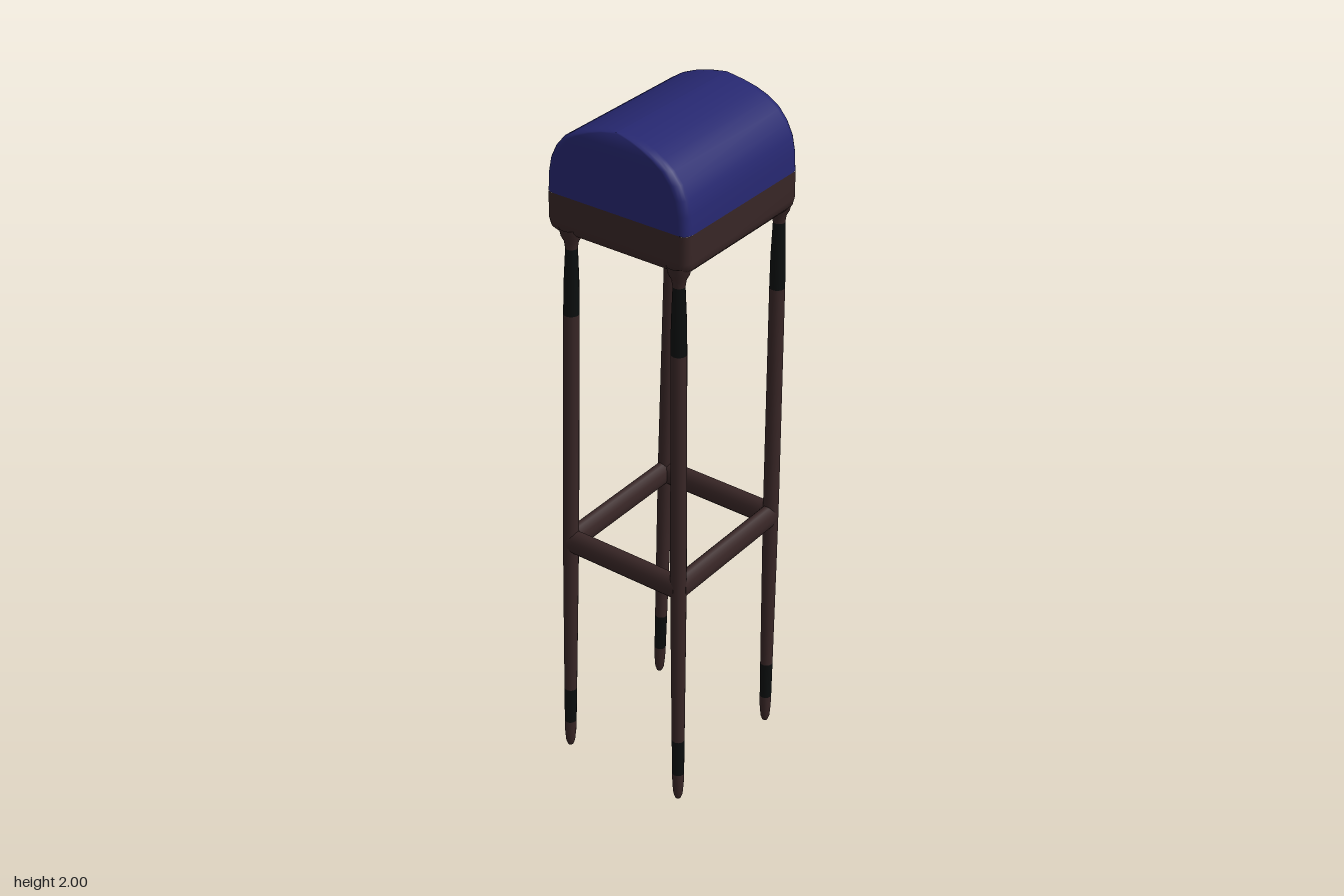
import * as THREE from 'three';

const upholstery = new THREE.MeshStandardMaterial({ color: 0x26276f });
upholstery.name = 'navy upholstery';
const wood = new THREE.MeshStandardMaterial({ color: 0x382626 });
wood.name = 'dark wood';
const black = new THREE.MeshStandardMaterial({ color: 0x0b0e0e });
black.name = 'black trim';

function part(name, geometry, material) {
  const mesh = new THREE.Mesh(geometry, material);
  mesh.name = name;
  return mesh;
}

// Stack of rounded rectangles; each level is [y, halfWidth, halfDepth]
function loft(levels, radius) {
  const steps = 4;
  const n = 4 * (steps + 1);
  const pos = [];
  const index = [];
  for (const [y, w, d] of levels) {
    const r = Math.min(radius, w, d);
    for (let q = 0; q < 4; q++) {
      const sx = q === 0 || q === 3 ? 1 : -1;
      const sz = q < 2 ? 1 : -1;
      for (let s = 0; s <= steps; s++) {
        const a = (q + s / steps) * Math.PI / 2;
        pos.push(sx * (w - r) + r * Math.cos(a), y, sz * (d - r) + r * Math.sin(a));
      }
    }
  }
  for (let j = 0; j < levels.length - 1; j++) {
    for (let i = 0; i < n; i++) {
      const a = j * n + i;
      const b = j * n + (i + 1) % n;
      index.push(a, a + n, b, b, a + n, b + n);
    }
  }
  const g = new THREE.BufferGeometry();
  g.setAttribute('position', new THREE.Float32BufferAttribute(pos, 3));
  g.setIndex(index);
  g.computeVertexNormals();
  return g;
}

// Leg bands from the floor up: name, material, [radius, y] profile
const bands = [
  ['footTip', wood, [[0, 0.005], [0.008, 0.01], [0.013, 0.025], [0.016, 0.06], [0.017, 0.1]]],
  ['footBand', black, [[0.017, 0.1], [0.018, 0.22]]],
  ['shaft', wood, [[0.018, 0.22], [0.021, 0.6], [0.022, 0.8], [0.021, 1.45]]],
  ['upperBand', black, [[0.021, 1.45], [0.02, 1.54], [0.016, 1.64]]],
  ['flare', wood, [[0.016, 1.64], [0.019, 1.66], [0.027, 1.675], [0.032, 1.7]]],
];

function makeLeg(name, x, zFloor, zTop) {
  const leg = new THREE.Group();
  leg.name = name;
  for (const [bandName, material, profile] of bands) {
    const g = new THREE.LatheGeometry(profile.map(([r, y]) => new THREE.Vector2(r, y)), 16);
    // Lean the leg along z without tilting the bands
    const p = g.attributes.position;
    for (let i = 0; i < p.count; i++) {
      p.setZ(i, p.getZ(i) + THREE.MathUtils.lerp(zFloor, zTop, p.getY(i) / 1.68));
    }
    leg.add(part(bandName, g, material));
  }
  leg.position.x = x;
  return leg;
}

// Oval rail along x
function makeRail(name, length) {
  const g = new THREE.CylinderGeometry(1, 1, length, 16);
  g.rotateZ(Math.PI / 2);
  g.scale(1, 0.037, 0.023);
  return part(name, g, wood);
}

export function createModel() {
  const stool = new THREE.Group();
  stool.name = 'stool';

  // Seat: wooden base and arched cushion
  const seat = new THREE.Group();
  seat.name = 'seat';
  seat.position.z = 0.005;
  seat.add(part('seatBase', loft([
    [1.68, 0, 0], [1.68, 0.215, 0.193], [1.684, 0.226, 0.204],
    [1.695, 0.234, 0.213], [1.715, 0.237, 0.217], [1.79, 0.237, 0.217],
  ], 0.022), wood));
  seat.add(part('cushion', loft([
    [1.79, 0.237, 0.217], [1.84, 0.237, 0.214], [1.88, 0.237, 0.206],
    [1.915, 0.237, 0.189], [1.945, 0.237, 0.164], [1.965, 0.236, 0.134],
    [1.98, 0.233, 0.1], [1.991, 0.229, 0.064], [1.998, 0.226, 0.03], [2, 0.224, 0],
  ], 0.024), upholstery));
  stool.add(seat);

  // Legs and side rails, mirrored left and right
  for (const [side, s] of [['left', 1], ['right', -1]]) {
    stool.add(makeLeg(side + 'FrontLeg', s * 0.213, 0.182, 0.182));
    stool.add(makeLeg(side + 'BackLeg', s * 0.213, -0.205, -0.15));
    const rail = makeRail(side + 'Rail', 0.36);
    rail.rotation.y = Math.PI / 2;
    rail.position.set(s * 0.213, 0.737, 0);
    stool.add(rail);
  }

  // Front and back rails
  for (const [name, z] of [['frontRail', 0.182], ['backRail', -0.181]]) {
    const rail = makeRail(name, 0.42);
    rail.position.set(0, 0.737, z);
    stool.add(rail);
  }
  return stool;
}
